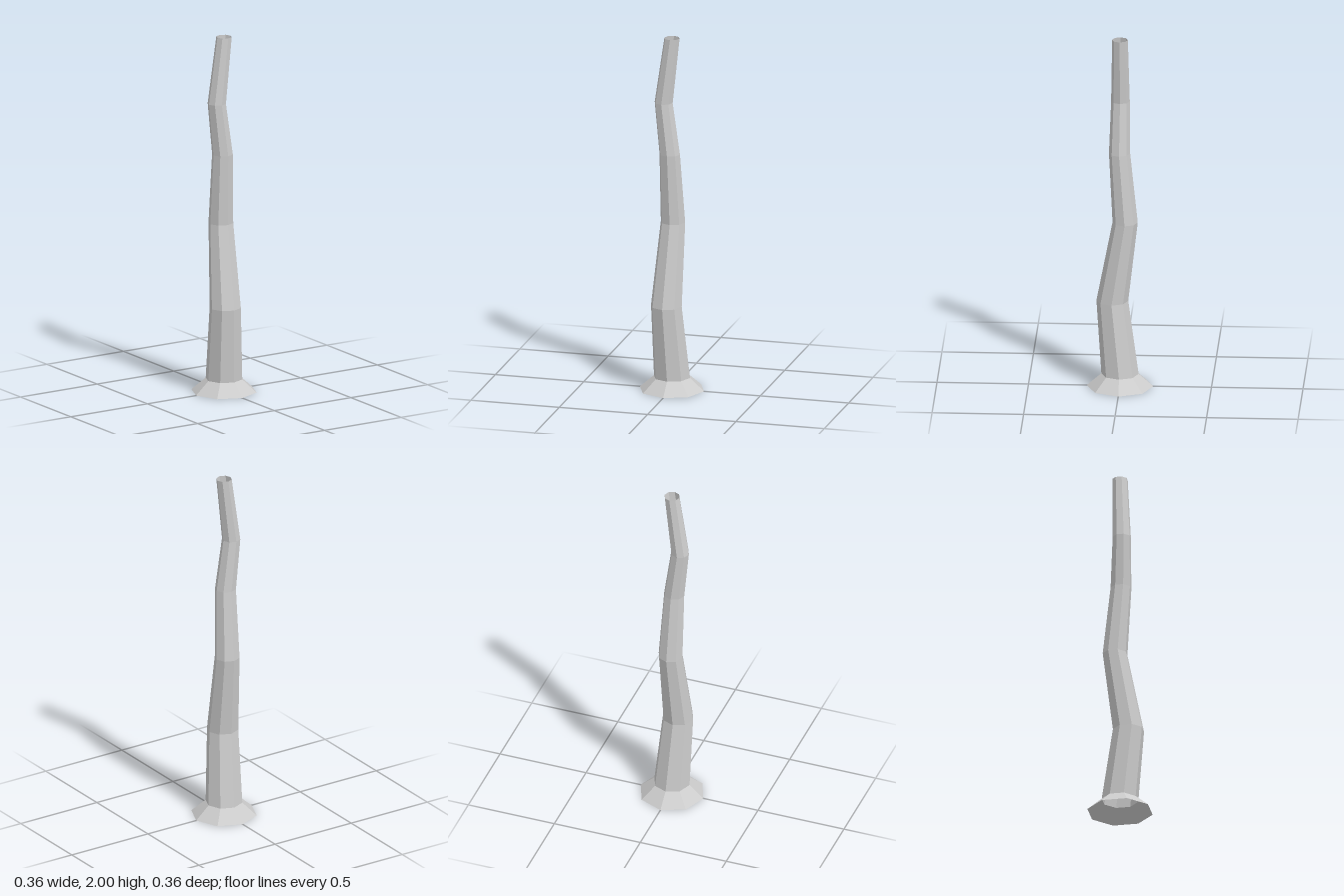
import * as THREE from 'three';

const SIDES = 8;

// Open eight-sided skin through rings of [y, centre x, centre z, radius]
function ringSkin(name, rings, material) {
  const positions = [];
  const index = [];
  rings.forEach(([y, cx, cz, r], row) => {
    for (let i = 0; i < SIDES; i++) {
      const a = (i / SIDES) * Math.PI * 2;
      positions.push(cx + r * Math.sin(a), y, cz + r * Math.cos(a));
      if (row === 0) continue;
      const j = (i + 1) % SIDES;
      const lower = (row - 1) * SIDES;
      const upper = row * SIDES;
      index.push(lower + i, lower + j, upper + j, lower + i, upper + j, upper + i);
    }
  });
  const geometry = new THREE.BufferGeometry();
  geometry.setAttribute('position', new THREE.Float32BufferAttribute(positions, 3));
  geometry.setIndex(index);
  geometry.computeVertexNormals();
  const mesh = new THREE.Mesh(geometry, material);
  mesh.name = name;
  return mesh;
}

export function createModel() {
  const group = new THREE.Group();
  group.name = 'crookedTrunk';
  const material = new THREE.MeshStandardMaterial({
    color: 0xcccccc, flatShading: true, side: THREE.DoubleSide,
  });

  // Flared foot, open underneath
  group.add(ringSkin('flaredBase', [
    [0, 0, 0, 0.182],
    [0.07, 0, 0, 0.102],
  ], material));

  // Bent, tapering trunk, open at the top
  group.add(ringSkin('trunk', [
    [0.07, 0, 0, 0.102],
    [0.485, -0.02, 0.043, 0.087],
    [0.945, -0.002, -0.028, 0.069],
    [1.34, -0.012, 0.003, 0.058],
    [1.63, -0.047, 0, 0.051],
    [2, 0, 0, 0.043],
  ], material));

  return group;
}
